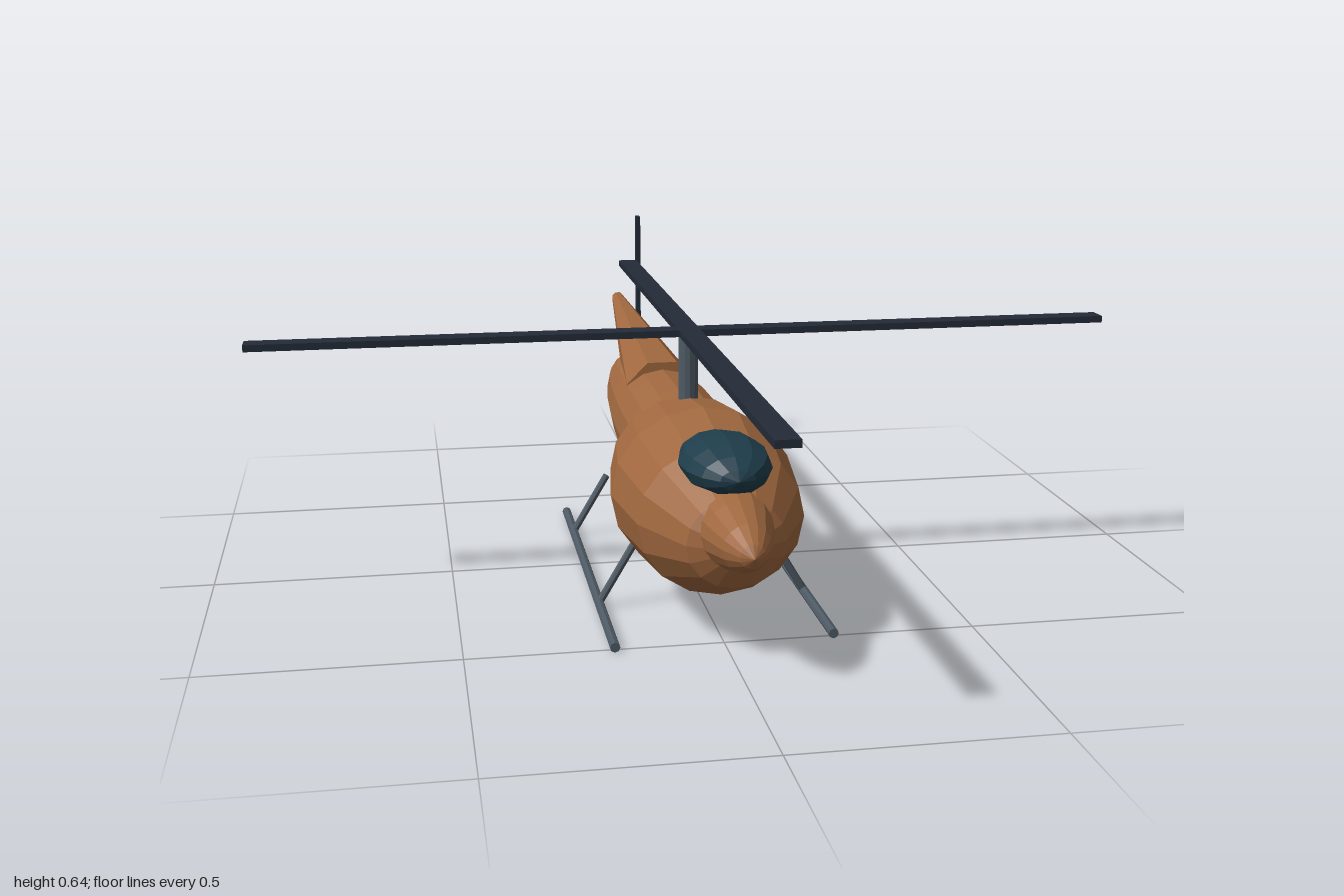
import * as THREE from 'three';

const paint = (color) => new THREE.MeshStandardMaterial({ color, flatShading: true });

export function createModel() {
  const model = new THREE.Group();
  model.name = 'helicopter';
  const brown = paint(0xa0683f);
  const glass = paint(0x1f3d4b);
  const blade = paint(0x232b37);
  const metal = paint(0x4e5a64);

  function add(name, geometry, material, x = 0, y = 0, z = 0) {
    const mesh = new THREE.Mesh(geometry, material);
    mesh.name = name;
    mesh.position.set(x, y, z);
    model.add(mesh);
    return mesh;
  }

  // Faceted ellipsoid with its poles on the z axis
  function ellipsoid(rx, ry, rz, sides, rings) {
    return new THREE.SphereGeometry(1, sides, rings).rotateX(Math.PI / 2).scale(rx, ry, rz);
  }

  // Round bar between two points
  function rod(name, a, b, radius) {
    const from = new THREE.Vector3(...a), to = new THREE.Vector3(...b);
    const dir = to.clone().sub(from);
    const mesh = add(name, new THREE.CylinderGeometry(radius, radius, dir.length(), 8), metal);
    mesh.position.copy(from).add(to).multiplyScalar(0.5);
    mesh.quaternion.setFromUnitVectors(new THREE.Vector3(0, 1, 0), dir.normalize());
  }

  // Body: a long slim fuselage running through a bulging cabin
  add('fuselage', ellipsoid(0.12, 0.12, 0.785, 16, 16), brown, 0, 0.26, -0.018);
  add('cabin', ellipsoid(0.188, 0.175, 0.39, 16, 6), brown, 0, 0.237, 0.27);
  add('canopy', ellipsoid(0.088, 0.053, 0.14, 12, 8), glass, 0, 0.36, 0.49);

  // Tail boom: tapered octagon, sheared upward so both ends stay vertical
  const boom = new THREE.CylinderGeometry(0.0888, 0.0155, 0.76, 8)
    .rotateY(Math.PI / 8).rotateX(Math.PI / 2);
  const p = boom.attributes.position;
  for (let i = 0; i < p.count; i++) p.setY(i, p.getY(i) - (p.getZ(i) / 0.76) * 0.096);
  boom.computeVertexNormals();
  add('tailBoom', boom, brown, 0, 0.357, -0.62);

  // Main rotor
  add('mast', new THREE.CylinderGeometry(0.021, 0.021, 0.15, 12), metal, 0, 0.462, 0.1);
  add('mainBladeLengthwise', new THREE.BoxGeometry(0.045, 0.014, 1.8), blade, 0, 0.532, 0.1);
  add('mainBladeCrosswise', new THREE.BoxGeometry(1.8, 0.014, 0.045), blade, 0, 0.532, 0.1);

  // Tail rotor
  add('tailRotor', new THREE.BoxGeometry(0.01, 0.4, 0.028), blade, 0.04, 0.44, -0.89);

  // Landing gear
  for (const side of [-1, 1]) {
    rod('skid', [side * 0.214, 0.01, -0.355], [side * 0.214, 0.01, 0.515], 0.01);
    for (const z of [0.27, -0.2]) {
      rod('skidStrut', [side * 0.137, 0.14, z], [side * 0.214, 0.01, z], 0.008);
    }
  }
  return model;
}
